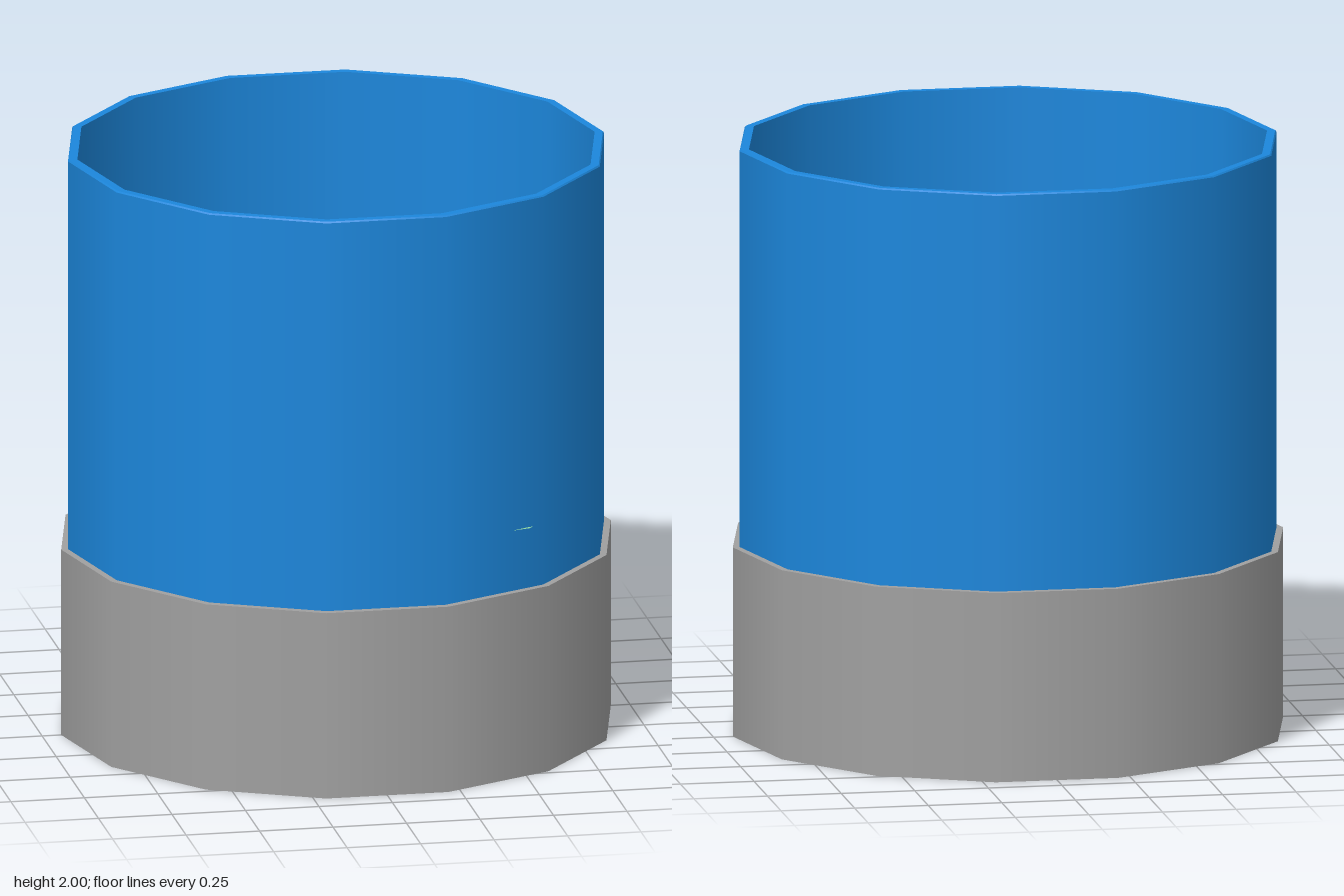
import * as THREE from 'three';
import { mergeGeometries } from 'three/addons/utils/BufferGeometryUtils.js';

const SIDES = 14;
const SOIL_EDGE = 0.645;
const SOIL_TOP = 0.77;

// Lathe around the y axis with a corner on the x axis.
function lathe(profile) {
  return new THREE.LatheGeometry(profile.map(([r, y]) => new THREE.Vector2(r, y)), SIDES, Math.PI / SIDES);
}

// Turned ring with sharp edges between profile segments, smooth around the axis.
function turned(name, profile, material) {
  const bands = profile.slice(1).map((point, i) => lathe([profile[i], point]));
  const mesh = new THREE.Mesh(mergeGeometries(bands), material);
  mesh.name = name;
  return mesh;
}

// Outline of a leaf: half width at even steps from stalk to tip.
const OUTLINE = [0.1, 0.32, 0.56, 0.78, 0.93, 1, 0.97, 0.82, 0.4];

// Leaf blade arching from the top of the soil mound to its tip.
function leaf([tipX, tipZ, rise, arch, width, bend], material) {
  const rows = OUTLINE.length - 1;
  const geometry = new THREE.PlaneGeometry(2, 1, 2, rows);
  const pos = geometry.attributes.position;
  const reach = Math.hypot(tipX, tipZ);
  const dx = tipX / reach, dz = tipZ / reach;
  for (let i = 0; i < pos.count; i++) {
    const side = pos.getX(i);
    const t = pos.getY(i) + 0.5;
    const half = OUTLINE[Math.round(t * rows)] * width / 2;
    // The middle of the tip reaches a little further than its corners.
    const out = t * (reach - 0.02 * Math.abs(side));
    const across = side * half + bend * Math.sin(Math.PI * t);
    const y = SOIL_TOP + rise * t + arch * 4 * t * (1 - t);
    pos.setXYZ(i, dx * out - dz * across, y, dz * out + dx * across);
  }
  // Turn the faces so that their fronts look upwards.
  geometry.index.array.reverse();
  geometry.computeVertexNormals();
  const mesh = new THREE.Mesh(geometry, material);
  mesh.name = 'leaf';
  return mesh;
}

export function createModel() {
  const model = new THREE.Group();
  model.name = 'pottedPlant';
  const grey = new THREE.MeshStandardMaterial({ color: 0xa0a0a0 });
  const blue = new THREE.MeshStandardMaterial({ color: 0x1c87dc });
  const brown = new THREE.MeshStandardMaterial({ color: 0x766e48, side: THREE.DoubleSide });
  const green = new THREE.MeshStandardMaterial({ color: 0x90d6a0, side: THREE.DoubleSide });

  // Base: thin open skirt with a lip on top
  model.add(turned('baseSkirt', [
    [0.933, 0.645], [0.933, 0], [0.935, 0], [0.935, 0.645], [0.825, 0.648],
  ], grey));

  // Tall tube seated in the lip, walls slightly thicker at the bottom
  model.add(turned('tube', [
    [0.872, 0.632], [0.912, 0.632], [0.912, 1.995], [0.908, 2], [0.88, 2], [0.872, 0.632],
  ], blue));

  // Soil: a shallow rounded mound
  const mound = [];
  for (let i = 0; i <= 6; i++) {
    const s = 1 - i / 6;
    mound.push([0.826 * s, SOIL_EDGE + (SOIL_TOP - SOIL_EDGE) * (1 - s * s)]);
  }
  const soil = new THREE.Mesh(lathe(mound), brown);
  soil.name = 'soil';
  model.add(soil);

  // Leaves: tip x, tip z, rise, arch, width, sideways bend
  const plant = new THREE.Group();
  plant.name = 'plant';
  [
    [-0.085, -0.66, 0.05, 0.04, 0.27, 0],
    [0.59, -0.36, 0.04, 0.05, 0.25, -0.03],
    [0.64, 0.02, 0.06, 0.08, 0.31, -0.015],
    [0.57, 0.18, 0.02, 0.03, 0.11, 0],
    [0.515, 0.75, 0.085, 0.05, 0.32, 0],
    [-0.41, 0.65, 0.08, 0.05, 0.24, -0.02],
    [-0.46, 0.14, 0.14, 0.07, 0.23, 0.01],
    [-0.81, -0.185, 0.07, 0.05, 0.19, 0],
    [-0.46, -0.38, 0.03, 0.03, 0.13, 0.01],
  ].forEach((spec) => plant.add(leaf(spec, green)));
  model.add(plant);
  return model;
}
